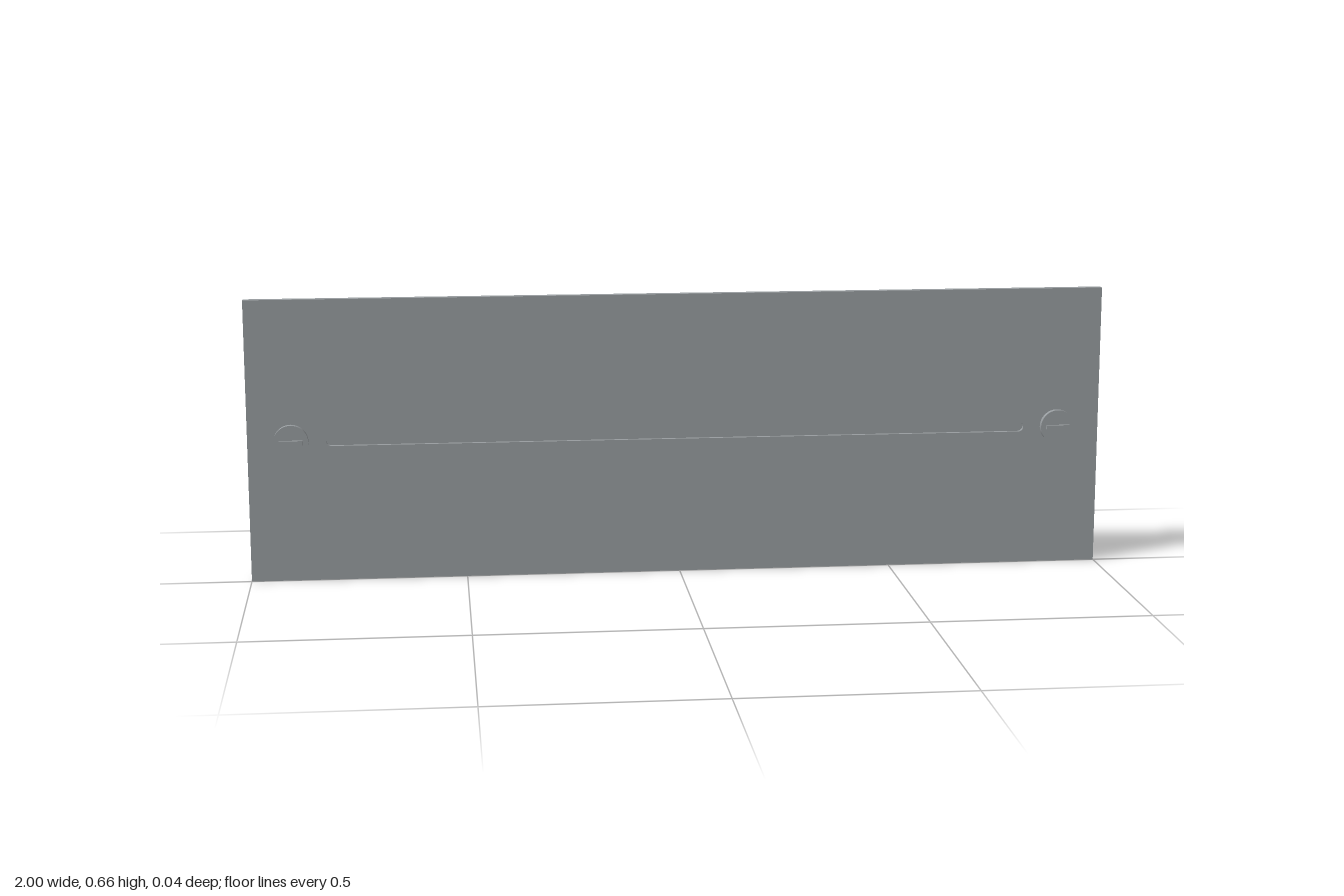
import * as THREE from 'three';

const W = 2, H = 0.66, T = 0.018, MID = 0.33, GROOVE_DEPTH = 0.009;

// Stadium outline, centred on (0, cy)
function slot(path, halfLength, r, cy) {
  const c = halfLength - r;
  path.moveTo(-c, cy - r);
  path.lineTo(c, cy - r);
  path.absarc(c, cy, r, -Math.PI / 2, Math.PI / 2, false);
  path.lineTo(-c, cy + r);
  path.absarc(-c, cy, r, Math.PI / 2, Math.PI * 1.5, false);
  return path;
}

export function createModel() {
  const model = new THREE.Group();
  model.name = 'slottedPanel';
  const grey = new THREE.MeshStandardMaterial({ color: 0x989da0 });
  grey.name = 'panelGrey';

  const add = (parent, name, geometry, x, y, z) => {
    const mesh = new THREE.Mesh(geometry, grey);
    mesh.name = name;
    mesh.position.set(x, y, z);
    parent.add(mesh);
    return mesh;
  };

  // Solid backing, which forms the floor of the groove
  const backT = T - GROOVE_DEPTH;
  add(model, 'panelBack', new THREE.BoxGeometry(W, H, backT), 0, H / 2, -T + backT / 2);

  // Front layer with the long groove cut out
  const face = new THREE.Shape([
    new THREE.Vector2(-W / 2, 0), new THREE.Vector2(W / 2, 0),
    new THREE.Vector2(W / 2, H), new THREE.Vector2(-W / 2, H),
  ]);
  face.holes.push(slot(new THREE.Path(), 0.82, 0.012, MID));
  add(model, 'panelFront', new THREE.ExtrudeGeometry(face, {
    depth: GROOVE_DEPTH, bevelEnabled: false, curveSegments: 10,
  }), 0, 0, -GROOVE_DEPTH);

  // Round knob with a small raised grip at each end
  for (const side of [-1, 1]) {
    const knob = new THREE.Group();
    knob.name = side > 0 ? 'leftKnob' : 'rightKnob';
    knob.position.set(side * 0.9, MID, 0);
    add(knob, 'knobDisc', new THREE.CylinderGeometry(0.04, 0.04, 0.013, 48).rotateX(Math.PI / 2), 0, 0, 0.0065);
    add(knob, 'knobGrip', new THREE.BoxGeometry(0.055, 0.01, 0.008), 0, 0, 0.016);
    model.add(knob);
  }
  return model;
}
